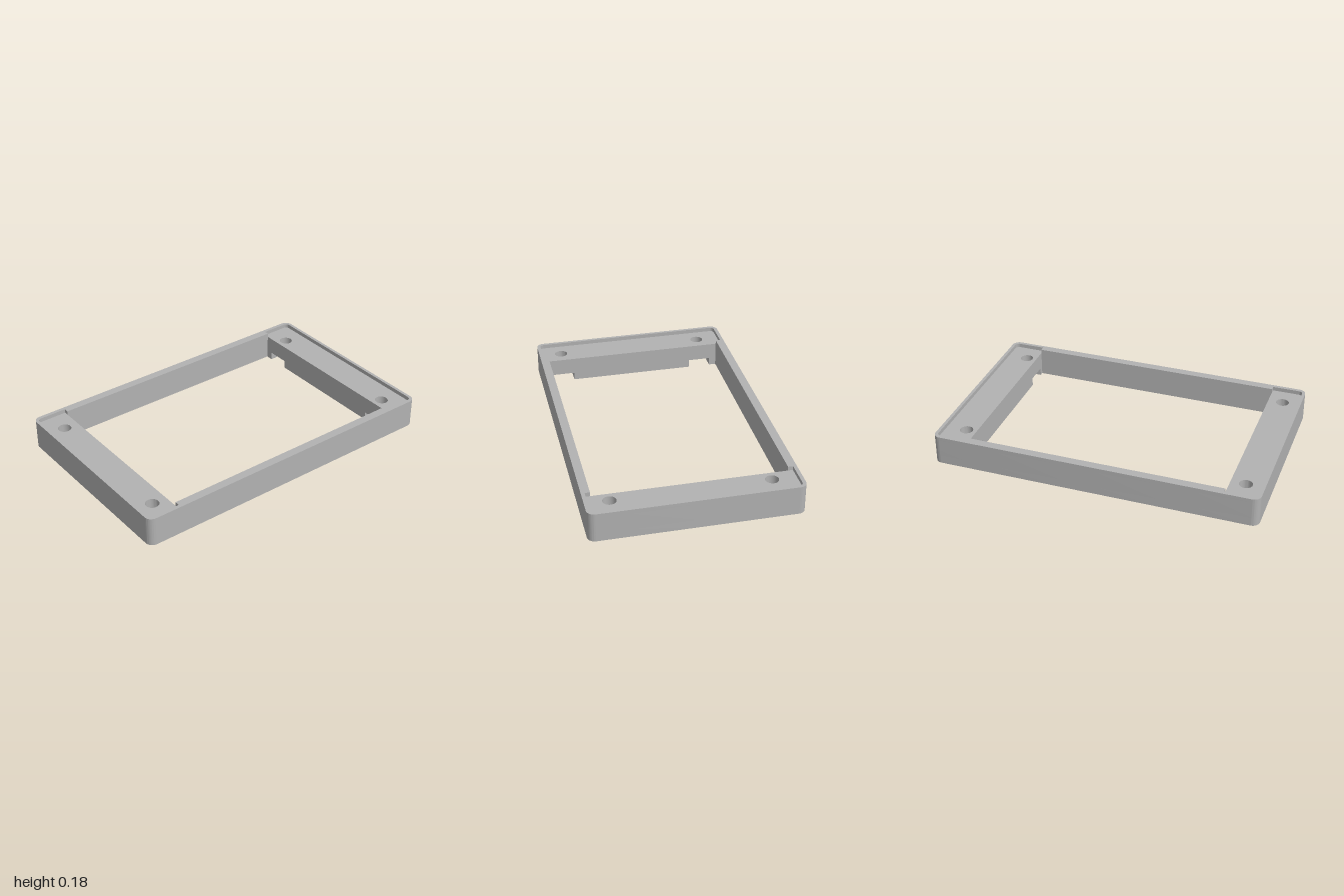
import * as THREE from 'three';
import { toCreasedNormals } from 'three/addons/utils/BufferGeometryUtils.js';

const HEIGHT = 0.18, LEDGE_Y = 0.155, POCKET_Y = 0.05;
const OPEN_X = 0.79, OPEN_Z = 0.571;   // half size of the central opening
const HOLES_X = [-0.88, 0.855], HOLES_Z = [-0.457, 0.475];
const HOLE_R = 0.04, POCKET_R = 0.07;

// Rectangle with rounded corners, centred on the origin
function roundedRect(path, hx, hz, r) {
  path.absarc(hx - r, hz - r, r, 0, Math.PI / 2);
  path.absarc(-hx + r, hz - r, r, Math.PI / 2, Math.PI);
  path.absarc(-hx + r, -hz + r, r, Math.PI, Math.PI * 1.5);
  path.absarc(hx - r, -hz + r, r, Math.PI * 1.5, Math.PI * 2);
  path.closePath();
  return path;
}

// Bottom opening: the central rectangle plus four round-ended screw pockets
function pocketOpening() {
  const p = new THREE.Path();
  const [xl, xr] = HOLES_X, [zb, zf] = HOLES_Z;
  p.moveTo(-OPEN_X, -OPEN_Z);
  p.lineTo(OPEN_X, -OPEN_Z);
  for (const z of [zb, zf]) {
    p.lineTo(OPEN_X, z - POCKET_R);
    p.absarc(xr, z, POCKET_R, -Math.PI / 2, Math.PI / 2);
    p.lineTo(OPEN_X, z + POCKET_R);
  }
  p.lineTo(OPEN_X, OPEN_Z);
  p.lineTo(-OPEN_X, OPEN_Z);
  for (const z of [zf, zb]) {
    p.lineTo(-OPEN_X, z + POCKET_R);
    p.absarc(xl, z, POCKET_R, Math.PI / 2, Math.PI * 1.5);
    p.lineTo(-OPEN_X, z - POCKET_R);
  }
  p.closePath();
  return p;
}

// Middle opening: plain rectangle
function plainOpening() {
  return new THREE.Path([[-1, -1], [1, -1], [1, 1], [-1, 1]]
    .map(([x, z]) => new THREE.Vector2(x * OPEN_X, z * OPEN_Z)));
}

// Top opening: wider at both ends, where the side ledges are recessed
function ledgeOpening() {
  const hx = 0.981, hz = 0.601, r = 0.025;
  const p = new THREE.Path();
  p.moveTo(-OPEN_X, -OPEN_Z);
  p.lineTo(OPEN_X, -OPEN_Z);
  p.lineTo(OPEN_X, -hz);
  p.absarc(hx - r, -hz + r, r, -Math.PI / 2, 0);
  p.absarc(hx - r, hz - r, r, 0, Math.PI / 2);
  p.lineTo(OPEN_X, hz);
  p.lineTo(OPEN_X, OPEN_Z);
  p.lineTo(-OPEN_X, OPEN_Z);
  p.lineTo(-OPEN_X, hz);
  p.absarc(-hx + r, hz - r, r, Math.PI / 2, Math.PI);
  p.absarc(-hx + r, -hz + r, r, Math.PI, Math.PI * 1.5);
  p.lineTo(-OPEN_X, -hz);
  p.closePath();
  return p;
}

export function createModel() {
  const group = new THREE.Group();
  group.name = 'mountingFrame';
  const grey = new THREE.MeshStandardMaterial({ color: 0xb2b2b2 });
  grey.name = 'grey';

  // One horizontal slice of the frame, between two heights
  function layer(name, y0, y1, holes) {
    const shape = roundedRect(new THREE.Shape(), 1, 0.623, 0.045);
    shape.holes.push(...holes);
    const geo = new THREE.ExtrudeGeometry(shape, { depth: y1 - y0, bevelEnabled: false, curveSegments: 14 });
    geo.rotateX(Math.PI / 2).translate(0, y1, 0);
    const mesh = new THREE.Mesh(toCreasedNormals(geo, 0.6), grey);
    mesh.name = name;
    group.add(mesh);
  }

  const screwHoles = HOLES_X.flatMap(x => HOLES_Z.map(z =>
    new THREE.Path().absarc(x, z, HOLE_R, 0, Math.PI * 2)));

  layer('pocketedBase', 0, POCKET_Y, [pocketOpening()]);
  layer('drilledBody', POCKET_Y, LEDGE_Y, [plainOpening(), ...screwHoles]);
  layer('raisedRim', LEDGE_Y, HEIGHT, [ledgeOpening()]);

  return group;
}
